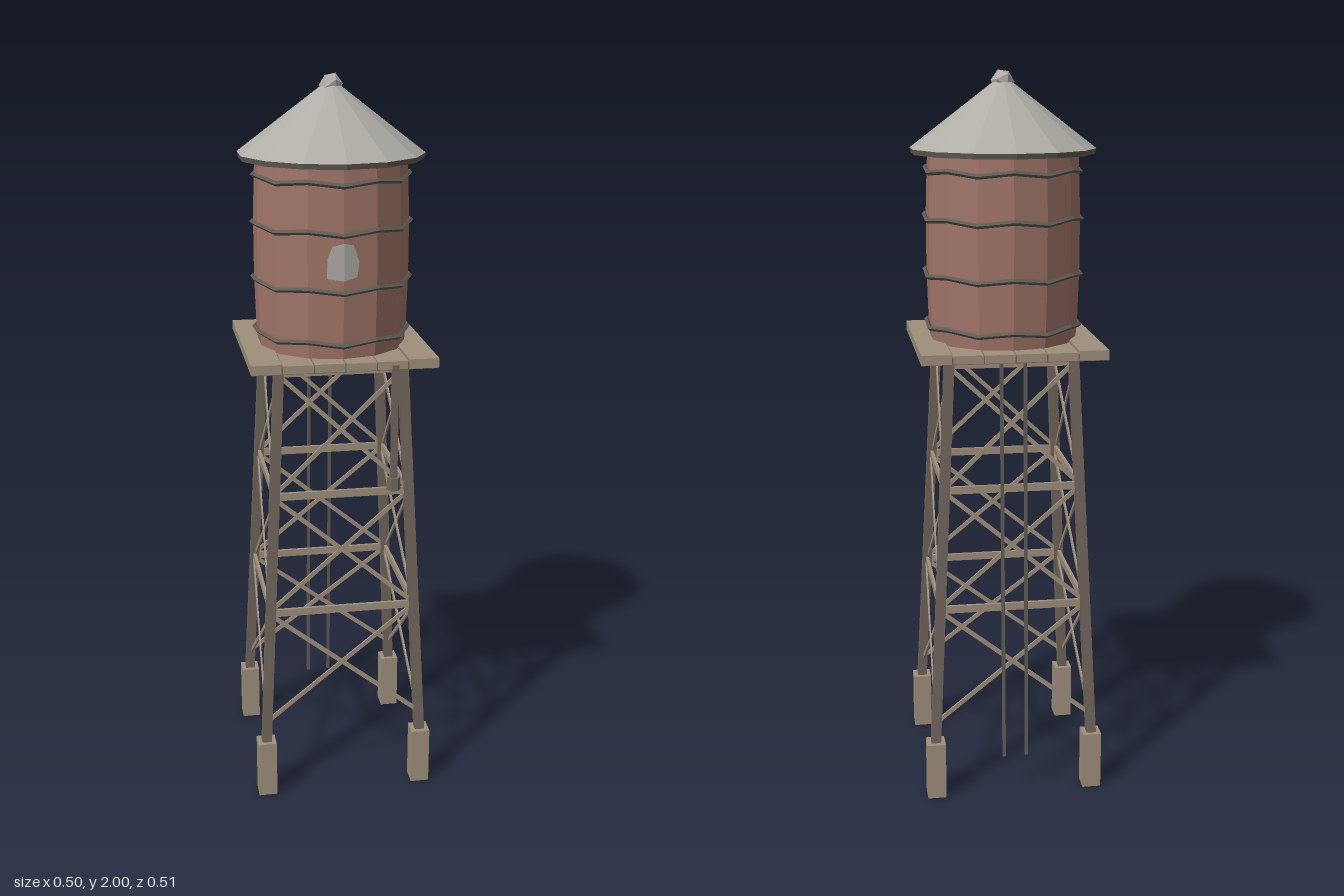
import * as THREE from 'three';

const mat = (name, color) => new THREE.MeshStandardMaterial({ name, color, flatShading: true });

export function createModel() {
  const model = new THREE.Group();
  model.name = 'waterTower';
  const wood = mat('weathered wood', 0x9f8f7c);
  const legWood = mat('dark wood', 0x71675c);
  const tankRed = mat('faded red', 0x9f7468);
  const roofGrey = mat('roof grey', 0xb0ada6);
  const iron = mat('dark iron', 0x605b54);
  const patchGrey = mat('patch grey', 0xaaa9a4);
  patchGrey.side = THREE.DoubleSide;

  const add = (name, geometry, material, parent = model, x = 0, y = 0, z = 0) => {
    const mesh = new THREE.Mesh(geometry, material);
    mesh.name = name;
    mesh.position.set(x, y, z);
    parent.add(mesh);
    return mesh;
  };
  // Square bar running from a to b
  const bar = (name, a, b, w, h, material, parent = model, up = [0, 1, 0]) => {
    const from = new THREE.Vector3(...a), to = new THREE.Vector3(...b);
    const mesh = new THREE.Mesh(new THREE.BoxGeometry(w, h, from.distanceTo(to)), material);
    mesh.name = name;
    mesh.position.copy(from).add(to).multiplyScalar(0.5);
    mesh.up.set(...up);
    mesh.lookAt(to);
    parent.add(mesh);
  };
  // Distance of a leg's centre from the axes at height y
  const legAt = (y) => 0.223 - (y - 0.16) * 0.05;

  // Footings and leaning legs
  for (const sx of [-1, 1]) for (const sz of [-1, 1]) {
    add('footing', new THREE.BoxGeometry(0.052, 0.165, 0.052), wood, model, sx * 0.223, 0.0825, sz * 0.223);
    const b = legAt(0.15), t = legAt(1.26);
    bar('leg', [sx * b, 0.15, sz * b], [sx * t, 1.26, sz * t], 0.027, 0.027, legWood, model, [0, 0, 1]);
  }

  // Flat struts and cross braces, repeated on four sides
  const levels = [0.215, 0.555, 0.895, 1.24];
  for (let side = 0; side < 4; side++) {
    const frame = new THREE.Group();
    frame.name = 'sideFrame';
    for (let i = 1; i < levels.length; i++) {
      const y = levels[i], y0 = levels[i - 1];
      const p = legAt(y), q = legAt(y0);
      add('strut', new THREE.BoxGeometry(p * 2, 0.021, 0.009), wood, frame, 0, y, p);
      for (const s of [-1, 1]) {
        bar('crossBrace', [s * q, y0 + 0.005, q + s * 0.003], [-s * p, y - 0.005, p + s * 0.003],
          0.005, 0.012, wood, frame);
      }
    }
    frame.rotation.y = side * Math.PI / 2;
    model.add(frame);
  }

  // Plank platform with slightly uneven boards over a dark underside
  for (let i = 0; i < 6; i++) {
    const end = i === 0 || i === 5;
    add('plank', new THREE.BoxGeometry(0.08, end ? 0.026 : 0.022, 0.496 + (i % 2) * 0.004),
      wood, model, -0.2095 + i * 0.0838, end ? 1.272 : 1.27, -0.002);
  }
  add('platformUnderside', new THREE.BoxGeometry(0.496, 0.02, 0.494), legWood, model, 0, 1.267, -0.002);

  // Fourteen-sided barrel tank
  const tankProfile = [[0, 1.281], [0.203, 1.281], [0.207, 1.33], [0.211, 1.47], [0.211, 1.62], [0.207, 1.74], [0.204, 1.798], [0, 1.798]];
  add('tank', new THREE.LatheGeometry(tankProfile.map((p) => new THREE.Vector2(...p)), 14), tankRed);

  // Iron hoops with a slight alternating sag
  for (const [y, r] of [[1.322, 0.212], [1.463, 0.215], [1.614, 0.215], [1.74, 0.211]]) {
    const hoop = new THREE.TorusGeometry(r, 0.007, 4, 14);
    hoop.rotateZ(Math.PI / 2).rotateX(Math.PI / 2);
    const pos = hoop.attributes.position;
    for (let i = 0; i < pos.count; i++) {
      const a = Math.atan2(pos.getX(i), pos.getZ(i));
      pos.setY(i, pos.getY(i) - 0.005 * Math.cos(7 * a));
    }
    add('hoop', hoop, iron, model, 0, y, 0);
  }

  // Plain repair patch folded over the front corner of the tank
  const outline = [[0, 1.59], [-0.03, 1.582], [-0.042, 1.55], [-0.044, 1.498], [0, 1.492], [0.036, 1.5], [0.041, 1.54], [0.026, 1.585]];
  const fold = ([x, y]) => [x, y, 0.2145 - Math.abs(x) * Math.tan(Math.PI / 14)];
  const patchPoints = [];
  outline.forEach((p, i) => {
    patchPoints.push(...fold([0, 1.54]), ...fold(outline[(i + 1) % outline.length]), ...fold(p));
  });
  // Corners run clockwise in the outline, so each fan triangle is reversed above then turned outward here
  const patch = new THREE.BufferGeometry();
  for (let i = 0; i < patchPoints.length; i += 9) {
    const second = patchPoints.slice(i + 3, i + 6);
    patchPoints.splice(i + 3, 6, ...patchPoints.slice(i + 6, i + 9), ...second);
  }
  patch.setAttribute('position', new THREE.Float32BufferAttribute(patchPoints, 3));
  patch.computeVertexNormals();
  add('repairPatch', patch, patchGrey);

  // Conical roof, dark rim band and faceted finial
  add('roof', new THREE.ConeGeometry(0.252, 0.191, 14), roofGrey, model, 0, 1.8915, 0);
  add('roofRim', new THREE.CylinderGeometry(0.252, 0.249, 0.014, 14, 1, true), iron, model, 0, 1.789, 0);
  const finial = add('finial', new THREE.IcosahedronGeometry(0.032, 0), roofGrey, model, 0, 1.97, 0);
  finial.rotation.set(0.1, 0.4, 0.1);

  // Hanging spout at the front
  add('spoutPipe', new THREE.BoxGeometry(0.018, 0.33, 0.014), legWood, model, 0.133, 1.105, 0.24);
  add('spoutEnd', new THREE.CylinderGeometry(0.018, 0.019, 0.035, 6, 1, false, Math.PI / 6), legWood, model, 0.133, 0.937, 0.24);

  // Ladder rails at the back
  for (const s of [-1, 1]) {
    bar('ladderRail', [s * 0.032, 0.12, -0.252], [s * 0.032, 1.26, -0.2], 0.009, 0.009, iron);
  }
  return model;
}
